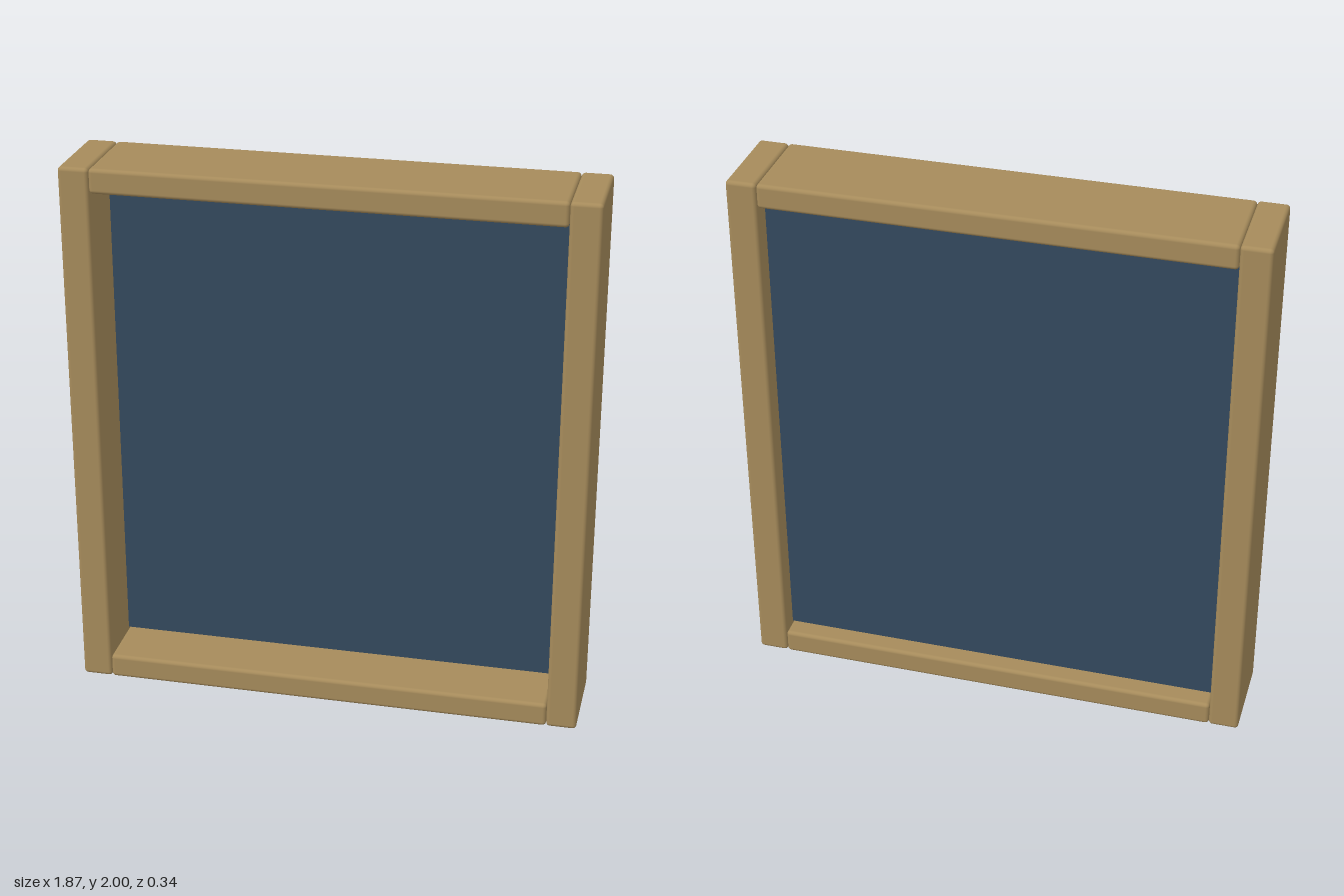
import * as THREE from 'three';
import { RoundedBoxGeometry } from 'three/addons/geometries/RoundedBoxGeometry.js';

const H = 2, W = 1.87, D = 0.34;      // overall size
const SIDE = 0.11, RAIL = 0.09;       // bar thicknesses
const BEVEL = 0.014;

export function createModel() {
  const group = new THREE.Group();
  const wood = new THREE.MeshStandardMaterial({ color: 0xa68b5b });
  wood.name = 'wood';
  const slate = new THREE.MeshStandardMaterial({ color: 0x34495e });
  slate.name = 'slateBlue';

  const add = (name, geometry, material, x, y, z) => {
    const mesh = new THREE.Mesh(geometry, material);
    mesh.name = name;
    mesh.position.set(x, y, z);
    group.add(mesh);
  };

  const innerW = W - 2 * SIDE;

  // Upright posts
  const post = new RoundedBoxGeometry(SIDE, H, D, 3, BEVEL);
  for (const [name, s] of [['leftPost', 1], ['rightPost', -1]]) {
    add(name, post, wood, s * (W - SIDE) / 2, H / 2, 0);
  }

  // Top and bottom rails between the posts
  const rail = new RoundedBoxGeometry(innerW, RAIL, D, 3, BEVEL);
  add('topRail', rail, wood, 0, H - RAIL / 2, 0);
  add('bottomRail', rail, wood, 0, RAIL / 2, 0);

  // Panel set towards the back of the frame
  const panel = new THREE.BoxGeometry(innerW, H - 2 * RAIL, 0.04);
  add('panel', panel, slate, 0, H / 2, -0.075);

  return group;
}
